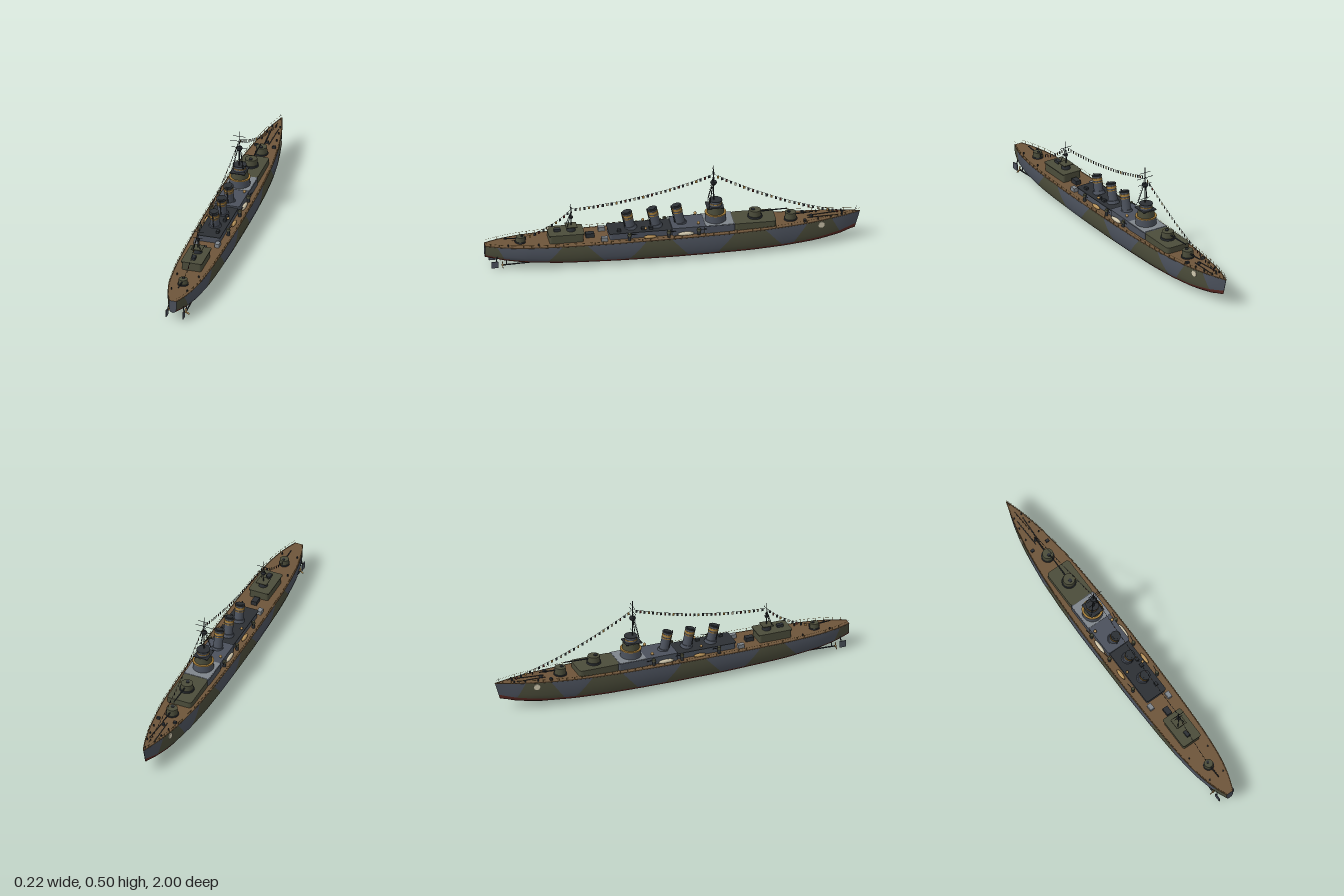
import * as THREE from 'three';

const paint = (name, color) => Object.assign(new THREE.MeshStandardMaterial({ color, side: THREE.DoubleSide }), { name });
const V = (x, y, z) => new THREE.Vector3(x, y, z);

// piecewise-linear lookup in [z, value] pairs sorted by z
function lookup(table, z) {
  for (let i = 1; i < table.length; i++) {
    const [z0, a] = table[i - 1], [z1, b] = table[i];
    if (z <= z1) return a + (b - a) * Math.max(0, (z - z0) / (z1 - z0));
  }
  return table[table.length - 1][1];
}
const BEAM = [[-1, 0.001], [-0.95, 0.017], [-0.9, 0.032], [-0.8, 0.055], [-0.7, 0.072], [-0.55, 0.09], [-0.4, 0.099], [-0.2, 0.105],
  [0.2, 0.106], [0.5, 0.1], [0.65, 0.093], [0.8, 0.078], [0.9, 0.057], [0.96, 0.037], [1, 0.02]];
const KEEL = [[-1, 0.07], [-0.9, 0.043], [-0.75, 0.02], [-0.6, 0.01], [-0.4, 0.003], [0, 0], [0.3, 0.003], [0.6, 0.012], [0.8, 0.027], [0.9, 0.04], [1, 0.06]];
const DECK = [[-1, 0.165], [-0.7, 0.15], [-0.4, 0.141], [0, 0.135], [0.5, 0.132], [1, 0.131]];
const beam = z => lookup(BEAM, z), deckY = z => lookup(DECK, z);

// half cross-section: [share of beam, share of height], deck edge to keel
const HALF = [[1, 1], [1.025, 0.85], [1.03, 0.65], [1, 0.43], [0.93, 0.25], [0.76, 0.12], [0.46, 0.035], [0, 0]];
const RING = [...HALF, ...HALF.slice(0, -1).reverse().map(([x, h]) => [-x, h])];
// camouflage edges: [z, slant]
const EDGES = [[-1, 0], [-0.87, 0.07], [-0.67, -0.1], [-0.53, 0.12], [-0.27, -0.12], [-0.03, 0.12], [0.2, -0.12], [0.42, 0.12], [0.64, -0.1], [0.92, 0.05], [1, 0]];

function hullPoint(z, [fx, h]) {
  const k = lookup(KEEL, z), rake = 0.028 * (1 - h) * Math.max(0, (-0.8 - z) / 0.2);
  return V(fx * beam(z), k + h * (deckY(z) - k), z + rake);
}

function hullGeometry() {
  const pos = [], faces = [[], [], []], n = RING.length, SUB = 7;
  const rows = (EDGES.length - 1) * SUB;
  for (let i = 0; i <= rows; i++) {
    const s = Math.min(Math.floor(i / SUB), EDGES.length - 2), f = i / SUB - s;
    const z = THREE.MathUtils.lerp(EDGES[s][0], EDGES[s + 1][0], f);
    const slant = THREE.MathUtils.lerp(EDGES[s][1], EDGES[s + 1][1], f);
    for (const p of RING) pos.push(...hullPoint(z + slant * (Math.max(p[1], 0.25) - 0.6), p).toArray());
    if (i === rows) break;
    for (let j = 0; j < n - 1; j++) {
      const a = i * n + j, b = a + n;
      const slot = RING[j][1] + RING[j + 1][1] < 0.5 ? 2 : s % 2;
      faces[slot].push(a, b, a + 1, b, b + 1, a + 1);
    }
  }
  const g = new THREE.BufferGeometry();
  g.setAttribute('position', new THREE.Float32BufferAttribute(pos, 3));
  g.setIndex(faces.flat());
  let start = 0;
  faces.forEach((f, k) => { g.addGroup(start, f.length, k); start += f.length; });
  g.computeVertexNormals();
  return g;
}

export function createModel() {
  const ship = new THREE.Group();
  ship.name = 'warship';
  const grey = paint('blueGrey', 0x4b515c), olive = paint('olive', 0x4b4c3a), planks = paint('deckBrown', 0x6e553a),
    dark = paint('darkMetal', 0x2c3034), tan = paint('ochre', 0xa37c3a), red = paint('antifoulingRed', 0x5e2a24),
    pale = paint('lightGrey', 0x7f858b), cream = paint('cream', 0xcfc6ac), brass = paint('brass', 0xb8935a);

  const add = (name, geo, mat, x = 0, y = 0, z = 0) => {
    const m = new THREE.Mesh(geo, mat);
    m.name = name;
    m.position.set(x, y, z);
    ship.add(m);
    return m;
  };
  const box = (name, mat, w, h, d, x, y, z) => add(name, new THREE.BoxGeometry(w, h, d), mat, x, y, z);
  const drum = (name, mat, r0, r1, y0, y1, x, z, n = 24) =>
    add(name, new THREE.CylinderGeometry(r1, r0, y1 - y0, n), mat, x, (y0 + y1) / 2, z);
  const rod = (name, mat, a, b, r, r2 = r, n = 6) => {
    const d = b.clone().sub(a), m = add(name, new THREE.CylinderGeometry(r2, r, d.length(), n), mat);
    m.position.copy(a).addScaledVector(d, 0.5);
    m.quaternion.setFromUnitVectors(V(0, 1, 0), d.normalize());
    return m;
  };
  const ball = (name, mat, r, x, y, z) => add(name, new THREE.SphereGeometry(r, 12, 8), mat, x, y, z);
  // deckhouse with rounded plan corners
  const house = (name, mat, w, z0, z1, y0, y1, r = 0.012) => {
    const s = new THREE.Shape();
    s.moveTo(-w + r, -z1).lineTo(w - r, -z1).quadraticCurveTo(w, -z1, w, -z1 + r).lineTo(w, -z0 - r)
      .quadraticCurveTo(w, -z0, w - r, -z0).lineTo(-w + r, -z0).quadraticCurveTo(-w, -z0, -w, -z0 - r)
      .lineTo(-w, -z1 + r).quadraticCurveTo(-w, -z1, -w + r, -z1);
    const g = new THREE.ExtrudeGeometry(s, { depth: y1 - y0, bevelEnabled: false, curveSegments: 5 });
    return add(name, g.rotateX(-Math.PI / 2), mat, 0, y0, 0);
  };

  // hull, transom and deck
  add('hull', hullGeometry(), [grey, olive, red]);
  const end = RING.map(p => hullPoint(1, p)).map(p => new THREE.Vector2(p.x, p.y));
  add('transom', new THREE.ShapeGeometry(new THREE.Shape(end)), grey, 0, 0, 1);
  const deck = new THREE.PlaneGeometry(2, 2, 1, 80).rotateX(-Math.PI / 2), dp = deck.attributes.position;
  for (let i = 0; i < dp.count; i++) {
    const z = dp.getZ(i);
    dp.setXYZ(i, dp.getX(i) * beam(z), deckY(z), z);
  }
  deck.computeVertexNormals();
  add('deck', deck, planks);

  // edge trim, railing and anchor plates on both sides
  for (const s of [-1, 1]) {
    const edge = h => new THREE.CatmullRomCurve3(BEAM.map(([z, w]) => V(s * w * 0.985, deckY(z) + h, z)));
    add('deckTrim', new THREE.TubeGeometry(edge(0), 70, 0.0022, 5), planks);
    add('railing', new THREE.TubeGeometry(edge(0.016), 70, 0.0006, 4), tan);
    for (let i = 0; i <= 46; i++) {
      const z = -0.96 + i * 0.042;
      box('stanchion', tan, 0.0014, 0.016, 0.0014, s * beam(z) * 0.985, deckY(z) + 0.008, z);
    }
    const plate = add('anchorPlate', new THREE.CylinderGeometry(0.017, 0.017, 0.005, 16), cream, s * 0.0605, 0.13, -0.785);
    plate.rotation.set(0, s * 0.17, Math.PI / 2);
  }

  // gun turrets: dir is the way the barrel points along z
  const turret = (z, y, r, h, len, dir) => {
    drum('barbette', dark, r * 1.15, r * 1.15, y, y + h * 0.25, 0, z);
    drum('gunHouse', olive, r, r * 0.94, y + h * 0.25, y + h, 0, z);
    drum('turretHatch', dark, r * 0.3, r * 0.3, y + h, y + h + 0.004, 0, z - dir * r * 0.3, 12);
    rod('gunBarrel', dark, V(0, y + h * 0.68, z + dir * r * 0.8), V(0, y + h * 0.8, z + dir * len), 0.0042, 0.0028, 8);
  };
  turret(-0.63, 0.143, 0.031, 0.047, 0.12, -1);
  turret(-0.44, 0.178, 0.034, 0.042, 0.17, -1);
  turret(0.81, 0.13, 0.025, 0.034, 0.09, 1);

  // deckhouses
  house('forwardDeckhouse', olive, 0.07, -0.545, -0.32, 0.13, 0.178, 0.02);
  house('bridgeDeck', grey, 0.073, -0.325, -0.16, 0.13, 0.178);
  house('bridgeDeckTop', pale, 0.07, -0.318, -0.167, 0.178, 0.18);
  house('midDeckhouseFore', grey, 0.069, -0.17, 0.01, 0.13, 0.178);
  house('midDeckhouse', grey, 0.059, 0, 0.34, 0.13, 0.168);
  house('midRoof', dark, 0.063, 0, 0.345, 0.166, 0.169);
  house('aftDeckhouse', olive, 0.053, 0.48, 0.66, 0.13, 0.175);
  house('aftRoof', olive, 0.058, 0.475, 0.665, 0.175, 0.18);
  box('aftHatch', dark, 0.03, 0.025, 0.045, 0, 0.143, 0.44);
  box('aftLocker', dark, 0.022, 0.014, 0.035, 0, 0.187, 0.615);
  drum('aftControl', dark, 0.024, 0.02, 0.18, 0.205, 0, 0.54);
  box('aftControlRoof', olive, 0.06, 0.004, 0.06, 0, 0.207, 0.54);
  for (const z of [0.12, 0.16, 0.29]) box('roofVent', dark, 0.016, 0.014, 0.02, 0.035, 0.175, z).clone();

  // bridge tower in tiers
  drum('bridgeLower', grey, 0.056, 0.054, 0.178, 0.22, 0, -0.23);
  drum('bridgeGallery', tan, 0.057, 0.057, 0.22, 0.225, 0, -0.23);
  drum('bridgeMiddle', olive, 0.046, 0.043, 0.225, 0.262, 0, -0.23);
  box('bridgeWing', dark, 0.082, 0.004, 0.09, 0, 0.263, -0.225);
  drum('bridgeUpper', grey, 0.033, 0.031, 0.265, 0.293, 0, -0.23);
  drum('bridgeBand', tan, 0.034, 0.034, 0.276, 0.281, 0, -0.23);
  drum('bridgeRoof', dark, 0.036, 0.036, 0.293, 0.297, 0, -0.23);

  // raked funnels with painted bands
  [[-0.045, 0.278], [0.085, 0.271], [0.222, 0.262]].forEach(([z, top]) => {
    const at = y => V(0, y, z + (y - 0.168) * 0.22);
    rod('funnelBase', grey, at(0.166), at(0.182), 0.034, 0.03, 20);
    rod('funnel', grey, at(0.18), at(top), 0.025, 0.024, 20);
    rod('funnelBand', tan, at(top - 0.024), at(top - 0.012), 0.0265, 0.0265, 20);
    rod('funnelBandLower', tan, at(top - 0.036), at(top - 0.031), 0.0265, 0.0265, 20);
    rod('funnelCap', dark, at(top - 0.004), at(top + 0.001), 0.027, 0.027, 20);
    rod('funnelMouth', dark, at(top), at(top + 0.004), 0.018, 0.018, 16);
    rod('steamPipe', dark, at(0.17).add(V(0, 0, 0.029)), at(top).add(V(0, 0, 0.029)), 0.003);
  });

  // masts, yards and spotting tops
  const yard = (y, w, z) => rod('yard', dark, V(-w, y, z), V(w, y, z), 0.0013);
  rod('foremast', dark, V(0, 0.29, -0.22), V(0, 0.5, -0.22), 0.004, 0.0015, 8);
  [[0.32, 0.028], [0.402, 0.042], [0.44, 0.05], [0.47, 0.035]].forEach(([y, w]) => yard(y, w, -0.22));
  drum('spottingTop', dark, 0.012, 0.018, 0.388, 0.398, 0, -0.22, 16);
  drum('spottingTopRoof', dark, 0.018, 0.016, 0.398, 0.406, 0, -0.22, 16);
  rod('aftMast', dark, V(0, 0.2, 0.54), V(0, 0.335, 0.54), 0.003, 0.0013, 8);
  [[0.265, 0.025], [0.3, 0.035]].forEach(([y, w]) => yard(y, w, 0.54));
  drum('aftMastTop', dark, 0.009, 0.012, 0.25, 0.26, 0, 0.54, 12);

  for (const s of [-1, 1]) {
    // rigging and tripod legs
    rod('foremastLeg', dark, V(s * 0.028, 0.29, -0.195), V(s * 0.004, 0.41, -0.22), 0.0022);
    rod('shroud', dark, V(s * 0.038, 0.265, -0.19), V(0, 0.45, -0.22), 0.0007, 0.0007, 4);
    rod('aftMastLeg', dark, V(s * 0.022, 0.2, 0.565), V(0, 0.29, 0.54), 0.0018);
    // searchlights, side guns, boats and lockers
    ball('searchlight', brass, 0.0085, s * 0.055, 0.195, -0.13);
    ball('aftSearchlight', brass, 0.0075, s * 0.05, 0.182, 0.15);
    for (const z of [-0.13, 0.03, 0.24]) {
      drum('sideGunMount', dark, 0.009, 0.007, 0.133, 0.162, s * 0.078, z, 10);
      drum('sideGunShield', olive, 0.011, 0.009, 0.16, 0.172, s * 0.078, z, 10);
      rod('sideGunBarrel', dark, V(s * 0.078, 0.167, z), V(s * 0.085, 0.17, z - 0.04), 0.002);
    }
    const boat = ball('lifeRaft', cream, 1, s * 0.077, 0.147, -0.06);
    boat.scale.set(0.01, 0.011, 0.045);
    const launch = ball('launch', brass, 1, s * 0.077, 0.145, 0.13);
    launch.scale.set(0.01, 0.01, 0.035);
    box('deckLocker', pale, 0.024, 0.022, 0.035, s * 0.058, 0.143, 0.37);
    // foredeck fittings
    box('windlass', dark, 0.018, 0.012, 0.014, s * 0.048, 0.156, -0.7);
    rod('anchorChain', dark, V(s * 0.012, 0.153, -0.72), V(s * 0.018, 0.161, -0.88), 0.0022);
    for (const z of [-0.9, -0.84, -0.77, 0.72, 0.88]) drum('bollard', dark, 0.004, 0.004, deckY(z), deckY(z) + 0.011, s * beam(z) * 0.7, z, 8);
    // shafts, propellers and rudders
    rod('propellerShaft', dark, V(s * 0.04, 0.03, 0.7), V(s * 0.046, 0.026, 0.91), 0.004);
    rod('shaftStrut', grey, V(s * 0.046, 0.026, 0.89), V(s * 0.036, 0.07, 0.89), 0.003);
    ball('propellerHub', brass, 0.006, s * 0.046, 0.026, 0.912);
    for (let k = 0; k < 3; k++) {
      const a = k * Math.PI * 2 / 3 + Math.PI / 2;
      const blade = ball('propellerBlade', brass, 1, s * 0.046 + Math.cos(a) * 0.013, 0.026 + Math.sin(a) * 0.013, 0.912);
      blade.scale.set(0.009, 0.006, 0.002);
      blade.rotation.z = a;
    }
    box('rudder', grey, 0.005, 0.036, 0.036, s * 0.046, 0.029, 0.953);
    rod('rudderStock', dark, V(s * 0.046, 0.04, 0.945), V(s * 0.038, 0.08, 0.94), 0.003);
  }
  rod('jackstaff', dark, V(0, 0.163, -0.975), V(0, 0.195, -0.98), 0.001);
  drum('capstan', dark, 0.009, 0.008, 0.15, 0.163, 0, -0.74, 12);

  // strings of signal flags: [from, sag point, to, count]
  const flagGeo = new THREE.PlaneGeometry(0.011, 0.016).rotateY(Math.PI / 2), flagMats = [cream, dark, red, dark, tan, dark];
  [[V(0, 0.17, -0.93), V(0, 0.235, -0.6), V(0, 0.45, -0.22), 29], [V(0, 0.45, -0.22), V(0, 0.325, 0.14), V(0, 0.305, 0.54), 32],
    [V(0, 0.305, 0.54), V(0, 0.185, 0.65), V(0, 0.14, 0.86), 14]].forEach(([a, b, c, n]) => {
    const line = new THREE.QuadraticBezierCurve3(a, b, c);
    add('flagLine', new THREE.TubeGeometry(line, 24, 0.0007, 4), dark);
    for (let i = 1; i < n; i++) {
      const p = line.getPointAt(i / n);
      add('signalFlag', flagGeo, flagMats[i % 6], 0, p.y - 0.008, p.z);
    }
  });
  return ship;
}
